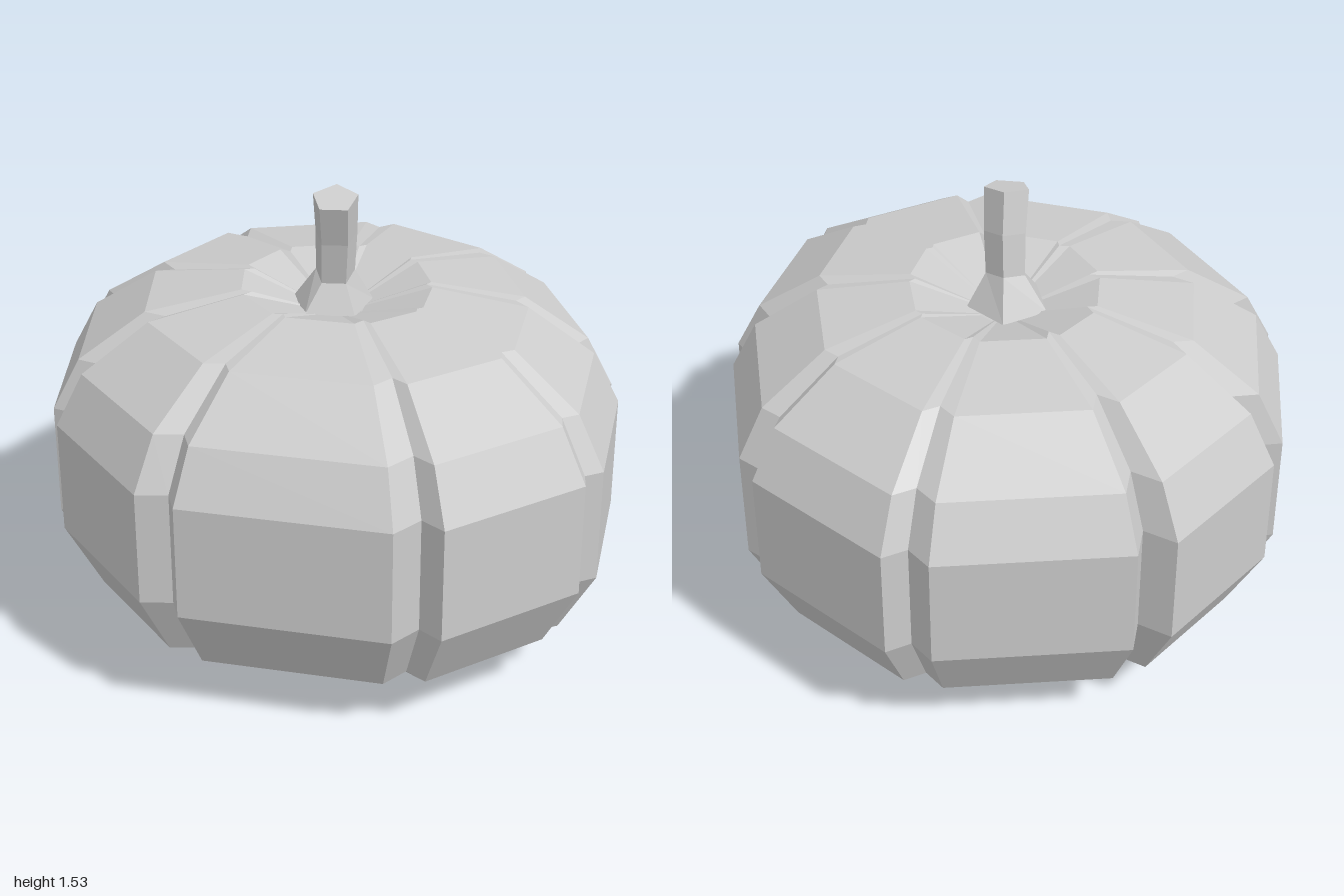
import * as THREE from 'three';

const material = new THREE.MeshStandardMaterial({ color: 0xcccccc, flatShading: true });

// Skins a stack of rings (equal point counts, bottom to top); a ring may collapse to a point.
function loft(name, rings) {
  const pos = [];
  const tri = (a, b, c) => {
    const area = b.clone().sub(a).cross(c.clone().sub(a)).length();
    if (area > 1e-8) for (const p of [a, b, c]) pos.push(p.x, p.y, p.z);
  };
  for (let i = 0; i < rings.length - 1; i++) {
    const lo = rings[i], hi = rings[i + 1], n = lo.length;
    for (let j = 0; j < n; j++) {
      const k = (j + 1) % n;
      tri(lo[j], hi[j], hi[k]);
      tri(lo[j], hi[k], lo[k]);
    }
  }
  const geometry = new THREE.BufferGeometry();
  geometry.setAttribute('position', new THREE.Float32BufferAttribute(pos, 3));
  geometry.computeVertexNormals();
  const mesh = new THREE.Mesh(geometry, material);
  mesh.name = name;
  return mesh;
}

// Widest cross-section (x, z): each of the nine ribs has two corners, then the groove after it.
const outline = [
  [0.24, -0.98], [0.71, -0.67], [0.705, -0.605],
  [0.78, -0.56], [0.93, -0.05], [0.885, 0.005],
  [0.945, 0.08], [0.87, 0.575], [0.81, 0.605],
  [0.81, 0.67], [0.385, 0.97], [0.315, 0.91],
  [0.235, 0.995], [-0.43, 0.895], [-0.455, 0.815],
  [-0.56, 0.82], [-0.885, 0.385], [-0.81, 0.31],
  [-0.92, 0.265], [-0.945, -0.245], [-0.85, -0.27],
  [-0.92, -0.365], [-0.64, -0.79], [-0.53, -0.745],
  [-0.525, -0.865], [0.09, -1.0], [0.165, -0.93],
];

// Body profile: [scale of the outline, height], from the bottom dimple to the top hollow.
const profile = [
  [0, 0.03], [0.325, 0], [0.59, 0.055], [0.875, 0.19], [1, 0.425],
  [1, 0.81], [0.905, 0.98], [0.67, 1.13], [0.335, 1.18], [0.1, 1.1], [0, 1.09],
];

// Stem sections: [radius, centre x, y, z, slope of the section towards the front].
const stemSections = [
  [0, -0.015, 1.1, 0.01, 0],
  [0.14, -0.015, 1.11, 0.01, 0],
  [0.068, -0.005, 1.22, 0.02, -0.28],
  [0.072, 0, 1.365, 0.044, -0.27],
  [0.077, 0, 1.505, 0.085, -0.26],
  [0, 0, 1.505, 0.085, 0],
];

export function createModel() {
  const group = new THREE.Group();
  group.name = 'pumpkin';

  // Ribbed body
  group.add(loft('body', profile.map(([s, y]) =>
    outline.map(([x, z]) => new THREE.Vector3(x * s, y, z * s)))));

  // Five-sided stem, flared at the foot and leaning forward
  group.add(loft('stem', stemSections.map(([r, x, y, z, slope]) =>
    Array.from({ length: 5 }, (_, i) => {
      const a = -Math.PI / 2 + (i * Math.PI * 2) / 5;
      const dz = r * Math.sin(a);
      return new THREE.Vector3(x + r * Math.cos(a), y + slope * dz, z + dz);
    }))));

  return group;
}
